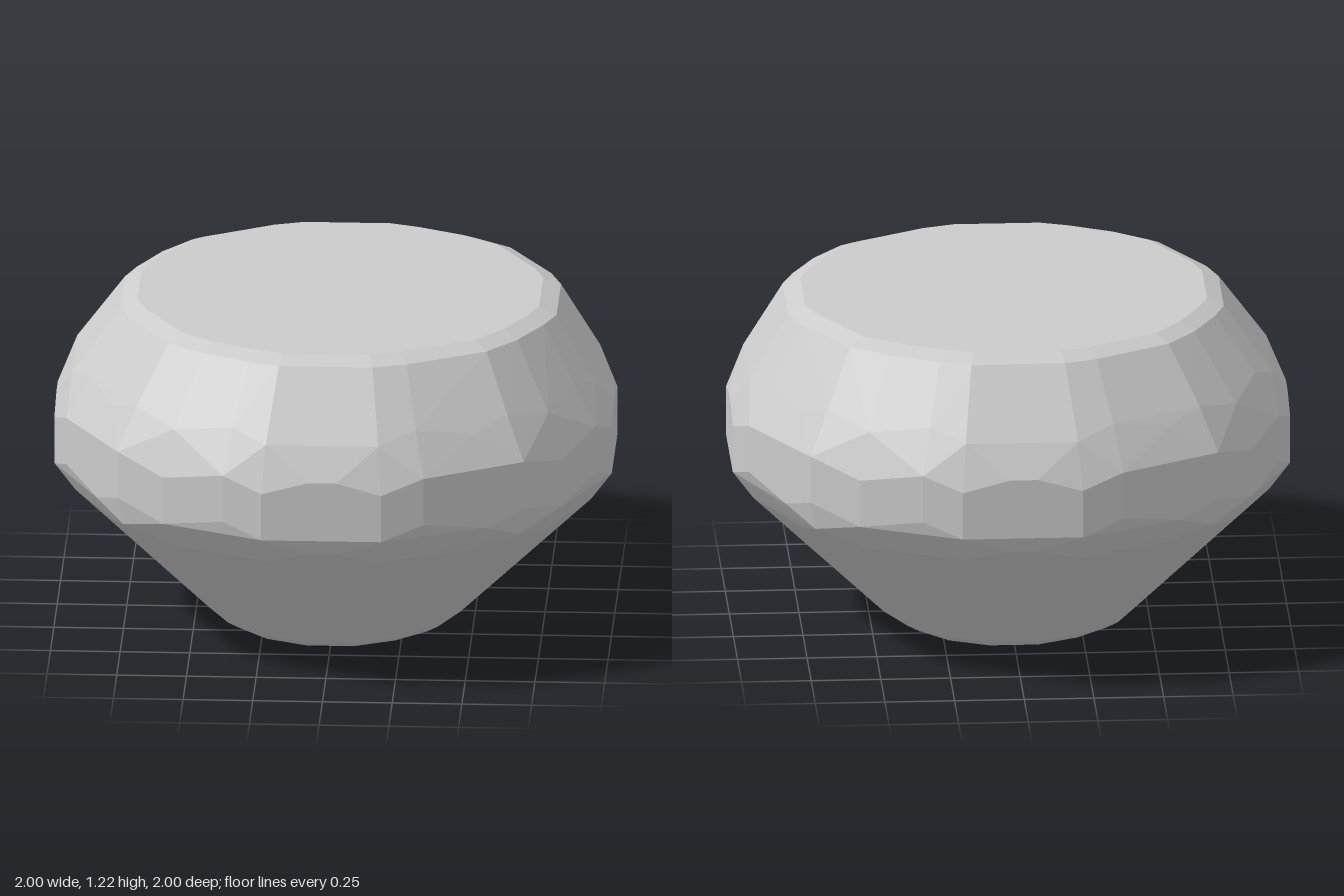
import * as THREE from 'three';
import { ConvexGeometry } from 'three/addons/geometries/ConvexGeometry.js';

// One quarter of the girdle outline (x, z), repeated four times by rotation
const QUARTER = [
  [0.22, -1], [0.36, -0.95], [0.58, -0.84], [0.75, -0.71],
  [0.83, -0.57], [0.95, -0.36], [1, -0.21],
];

// Rings: height, scale, height stagger, which outline points are used
const RINGS = [
  { y: 0, s: 0.4, wave: 0, use: [0, 2, 4, 6] },
  { y: 0.03, s: 0.45, wave: 0, use: [0, 2, 4, 6] },
  { y: 0.53, s: 0.95, wave: 0.025, use: [0, 2, 3, 4, 6] },
  { y: 0.635, s: 1, wave: 0.025, use: [0, 1, 2, 3, 4, 5, 6] },
  { y: 0.81, s: 1, wave: 0.025, use: [0, 1, 2, 3, 4, 5, 6] },
  { y: 0.97, s: 0.925, wave: 0.02, use: [0, 1, 2, 3, 4, 5, 6] },
  { y: 1.19, s: 0.765, wave: 0, use: [0, 1, 2, 3, 4, 5, 6] },
  { y: 1.217, s: 0.705, wave: 0, use: [0, 1, 2, 3, 4, 5, 6] },
];

function ringPoints({ y, s, wave, use }) {
  const points = [];
  for (let q = 0; q < 4; q++) {
    for (const i of use) {
      let [x, z] = QUARTER[i];
      for (let k = 0; k < q; k++) [x, z] = [-z, x];
      // Alternate the heights; on the sloping rings the radius follows
      const dy = wave * (i % 2 ? 1 : -1);
      let r = s;
      if (y > 0.4 && y < 0.6) r += dy;
      if (y > 0.9) r -= dy * 0.65;
      // The rim leans out a little on the left side
      const lean = y > 1.1 && x > 0 ? 1.045 : 1;
      points.push(new THREE.Vector3(x * r * lean, y + dy, z * r));
    }
  }
  return points;
}

export function createModel() {
  const group = new THREE.Group();
  group.name = 'facetedStone';

  const points = RINGS.flatMap(ringPoints);
  // Middle of each flat side, stretched lower and higher on the girdle
  for (let q = 0; q < 4; q++) {
    const a = (q * Math.PI) / 2;
    for (const [y, r] of [[0.55, 0.97], [0.61, 1], [0.83, 1]]) {
      for (const t of [-0.05, 0.05]) {
        points.push(new THREE.Vector3(
          r * Math.cos(a) - t * Math.sin(a), y, r * Math.sin(a) + t * Math.cos(a)));
      }
    }
  }

  const stone = new THREE.Mesh(
    new ConvexGeometry(points),
    new THREE.MeshStandardMaterial({ color: 0xcccccc, flatShading: true }));
  stone.name = 'stoneBody';
  group.add(stone);
  return group;
}
